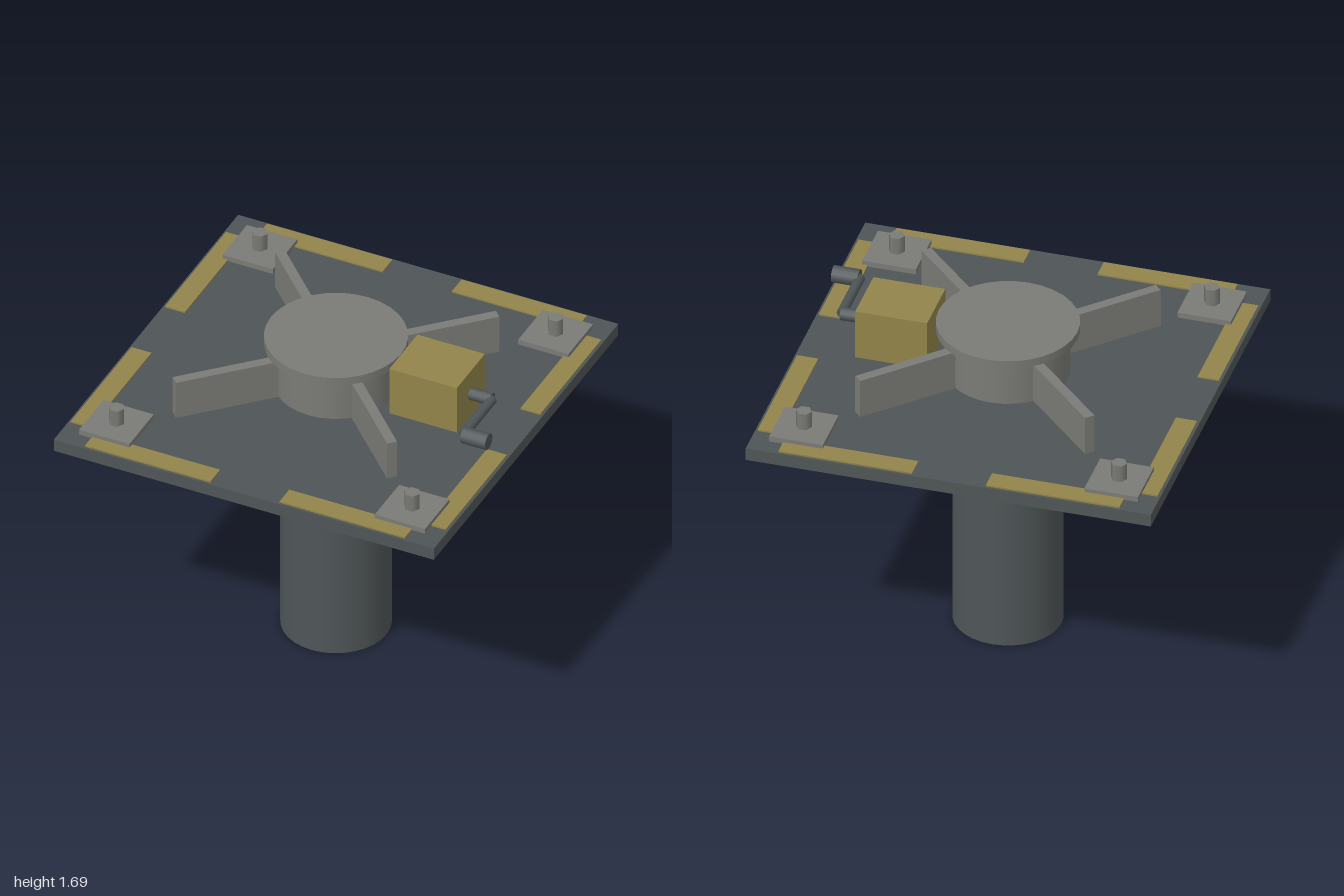
import * as THREE from 'three';

export function createModel() {
  const root = new THREE.Group();
  const mat = (name, color, side = THREE.FrontSide) => {
    const m = new THREE.MeshStandardMaterial({ color, side });
    m.name = name;
    return m;
  };
  const darkSteel = mat('dark steel', 0x4f5557, THREE.DoubleSide);
  const greySteel = mat('grey steel', 0x7a7a76);
  const ochre = mat('ochre paint', 0x92844a);

  const add = (name, geometry, material, x, y, z) => {
    const m = new THREE.Mesh(geometry, material);
    m.name = name;
    m.position.set(x, y, z);
    root.add(m);
    return m;
  };
  // Box given by its bottom height
  const box = (name, material, w, h, d, x, y, z) =>
    add(name, new THREE.BoxGeometry(w, h, d), material, x, y + h / 2, z);
  // Upright cylinder given by its bottom height
  const post = (name, material, r, h, x, y, z, sides = 32, open = false) =>
    add(name, new THREE.CylinderGeometry(r, r, h, sides, 1, open), material, x, y + h / 2, z);

  // Open tube column and square deck
  post('column', darkSteel, 0.265, 1.335, 0, 0, 0, 32, true);
  box('deck', darkSteel, 2, 0.065, 2, 0, 1.335, 0);

  // Hub with flange cap
  post('hub', greySteel, 0.298, 0.23, 0, 1.4, 0);
  post('hubFlange', greySteel, 0.342, 0.042, 0, 1.63, 0);

  // Four diagonal stiffening ribs
  for (let i = 0; i < 4; i++) {
    const a = Math.PI / 4 + (i * Math.PI) / 2;
    const r = 0.535;
    const rib = box('rib', greySteel, 0.55, 0.205, 0.05, r * Math.cos(a), 1.4, r * Math.sin(a));
    rib.rotation.y = -a;
  }

  for (const sx of [-1, 1]) {
    for (const sz of [-1, 1]) {
      // Painted edge markings
      box('edgeStripe', ochre, 0.66, 0.008, 0.105, sx * 0.512, 1.4, sz * 0.935);
      box('sideStripe', ochre, 0.105, 0.008, 0.66, sx * 0.935, 1.4, sz * 0.512);
      // Corner pad with hexagonal bolt, points along x
      box('cornerPad', greySteel, 0.265, 0.028, 0.265, sx * 0.778, 1.4, sz * 0.778);
      const bolt = post('bolt', greySteel, 0.039, 0.09, sx * 0.778, 1.426, sz * 0.778, 6);
      bolt.rotation.y = Math.PI / 2;
    }
  }

  // Gearbox and hand crank on the left side
  box('gearbox', ochre, 0.355, 0.26, 0.305, 0.532, 1.43, 0);
  const rod = (name, r, length, x, z, axis) => {
    const m = add(name, new THREE.CylinderGeometry(r, r, length, 12), darkSteel, x, 1.56, z);
    if (axis === 'x') m.rotation.z = Math.PI / 2;
    else m.rotation.x = Math.PI / 2;
  };
  rod('crankShaft', 0.032, 0.13, 0.757, 0, 'x');
  rod('crankArm', 0.024, 0.312, 0.822, 0.156, 'z');
  rod('crankHandle', 0.042, 0.13, 0.89, 0.313, 'x');

  return root;
}
